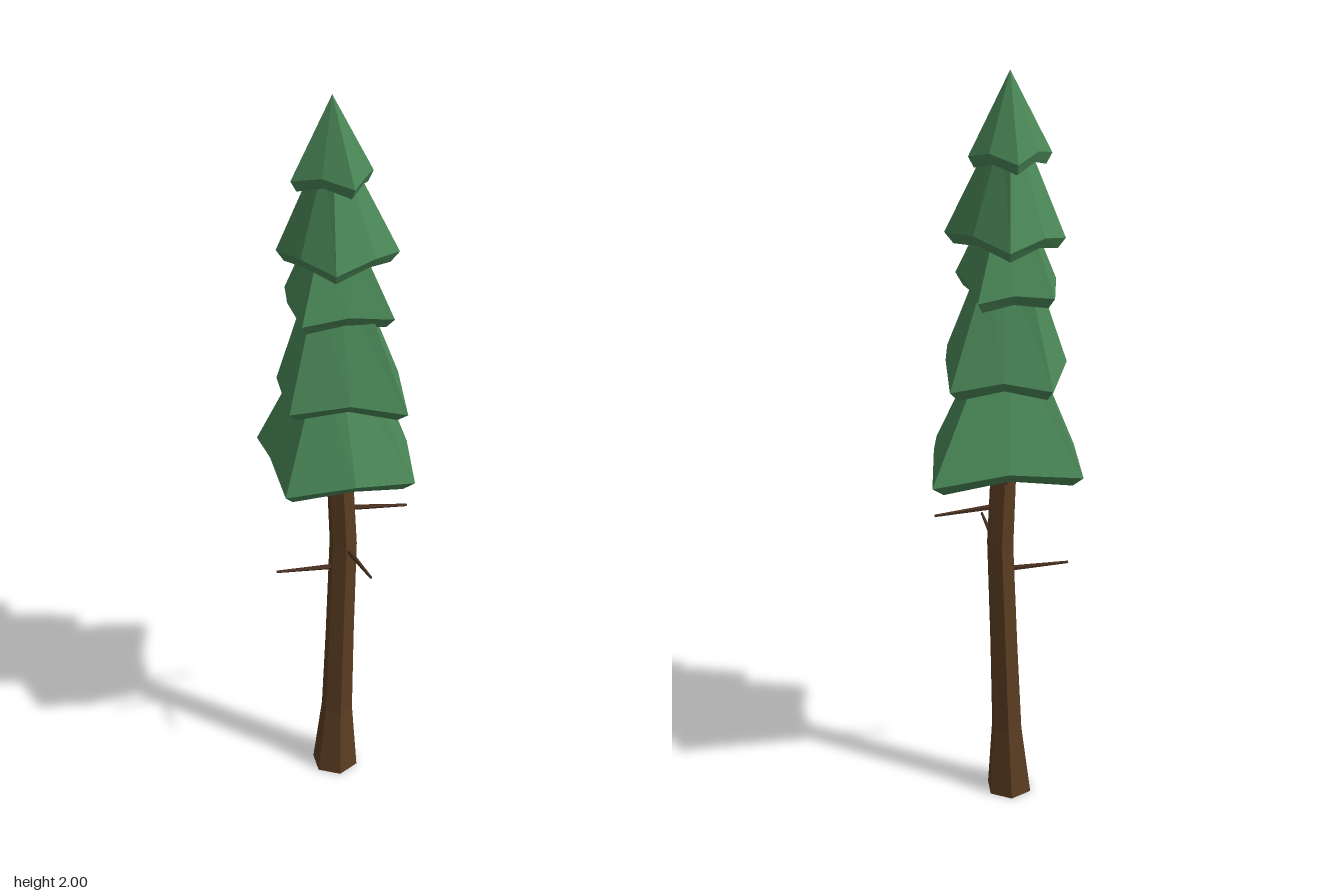
import * as THREE from 'three';

const needleMat = new THREE.MeshStandardMaterial({ color: 0x4a8757, flatShading: true });
const barkMat = new THREE.MeshStandardMaterial({ color: 0x5c3d22, flatShading: true });
const twigMat = new THREE.MeshStandardMaterial({ color: 0x4a3020, flatShading: true });

// Skin rings of [x, y, z] points, bottom to top (points run clockwise seen from above)
function loft(rings) {
  const pos = [];
  for (let j = 0; j < rings.length - 1; j++) {
    const lo = rings[j], hi = rings[j + 1], n = lo.length;
    for (let i = 0; i < n; i++) {
      const k = (i + 1) % n;
      pos.push(...lo[i], ...hi[i], ...hi[k], ...lo[i], ...hi[k], ...lo[k]);
    }
  }
  const g = new THREE.BufferGeometry();
  g.setAttribute('position', new THREE.Float32BufferAttribute(pos, 3));
  g.computeVertexNormals();
  return g;
}

// Each tier: rim points [x, z] alternating corner / mid-side, corner height, mid-side lift,
// and the height and scale of its tip
const tiers = [
  { y: 1.0, lift: 0.03, top: 1.33, s: 0.28, rim: [[-0.19, -0.165], [0, -0.19], [0.19, -0.185], [0.17, -0.01],
    [0.15, 0.14], [-0.01, 0.168], [-0.18, 0.127], [-0.187, -0.02]] },
  { y: 1.235, lift: 0.025, top: 1.53, s: 0.38, rim: [[-0.112, -0.164], [0.01, -0.155], [0.14, -0.14], [0.135, 0.02],
    [0.115, 0.187], [-0.02, 0.155], [-0.165, 0.117], [-0.165, -0.025]] },
  { y: 1.46, lift: 0.015, top: 1.67, s: 0.34, rim: [[-0.12, -0.118], [-0.02, -0.128], [0.07, -0.135], [0.085, -0.01],
    [0.1, 0.108], [-0.01, 0.1], [-0.125, 0.092], [-0.138, -0.01]] },
  { y: 1.595, lift: 0.02, top: 1.85, s: 0.24, rim: [[-0.005, -0.168], [0.075, -0.085], [0.135, 0.02], [0.06, 0.08],
    [-0.045, 0.11], [-0.115, 0.04], [-0.153, -0.06], [-0.095, -0.12]] },
  { y: 1.795, lift: 0.02, top: 2.0, s: 0, rim: [[-0.03, -0.115], [0.035, -0.078], [0.08, -0.025], [0.055, 0.03],
    [0.01, 0.072], [-0.06, 0.035], [-0.125, -0.012], [-0.085, -0.07]] },
];

function foliageTier({ y, lift, top, s, rim }) {
  const cx = -0.022, cz = -0.018;
  const ring = (scale, height, wave) => rim.map(([x, z], i) =>
    [cx + (x - cx) * scale, height + (i % 2 ? wave : 0), cz + (z - cz) * scale]);
  return loft([
    ring(0, y + 0.1, 0),        // hollow underside
    ring(0.86, y - 0.028, lift), // lower lip
    ring(1, y, lift),           // rim
    ring(s, top, 0),
    ring(0, top, 0),
  ]);
}

// Slightly bent six-sided trunk: [height, centre x, centre z, radius]
const trunkRings = [
  [0, -0.025, 0, 0], [0, -0.025, 0, 0.063], [0.2, -0.018, -0.002, 0.043], [0.45, -0.01, -0.002, 0.039],
  [0.75, 0, -0.003, 0.037], [1.0, -0.01, -0.005, 0.035], [1.3, -0.018, -0.01, 0.026], [1.8, -0.022, -0.018, 0.008],
];
function trunkGeometry() {
  return loft(trunkRings.map(([y, cx, cz, r]) => Array.from({ length: 6 }, (_, i) => {
    const a = -i * Math.PI / 3;
    return [cx + r * Math.sin(a), y, cz + r * Math.cos(a)];
  }).reverse().map((p, i, all) => all[all.length - 1 - i])));
}

// Bare dead branches: start, end
const twigs = [
  [[0, 0.857, 0], [0.17, 0.837, 0]],
  [[0, 0.672, 0], [-0.18, 0.683, 0]],
  [[0.005, 0.73, 0], [0.028, 0.753, 0.177]],
  [[-0.01, 0.943, 0], [-0.005, 0.967, -0.107]],
];
function twigMesh([from, to]) {
  const a = new THREE.Vector3(...from), b = new THREE.Vector3(...to);
  const dir = b.clone().sub(a);
  const mesh = new THREE.Mesh(new THREE.CylinderGeometry(0.0035, 0.008, dir.length(), 5), twigMat);
  mesh.position.copy(a).add(b).multiplyScalar(0.5);
  mesh.quaternion.setFromUnitVectors(new THREE.Vector3(0, 1, 0), dir.normalize());
  return mesh;
}

export function createModel() {
  const tree = new THREE.Group();
  tree.name = 'pineTree';
  const add = (mesh, name) => { mesh.name = name; tree.add(mesh); };

  add(new THREE.Mesh(trunkGeometry(), barkMat), 'trunk');
  twigs.forEach((t, i) => add(twigMesh(t), `deadBranch${i + 1}`));
  tiers.forEach((t, i) => add(new THREE.Mesh(foliageTier(t), needleMat), `foliageTier${i + 1}`));
  return tree;
}
